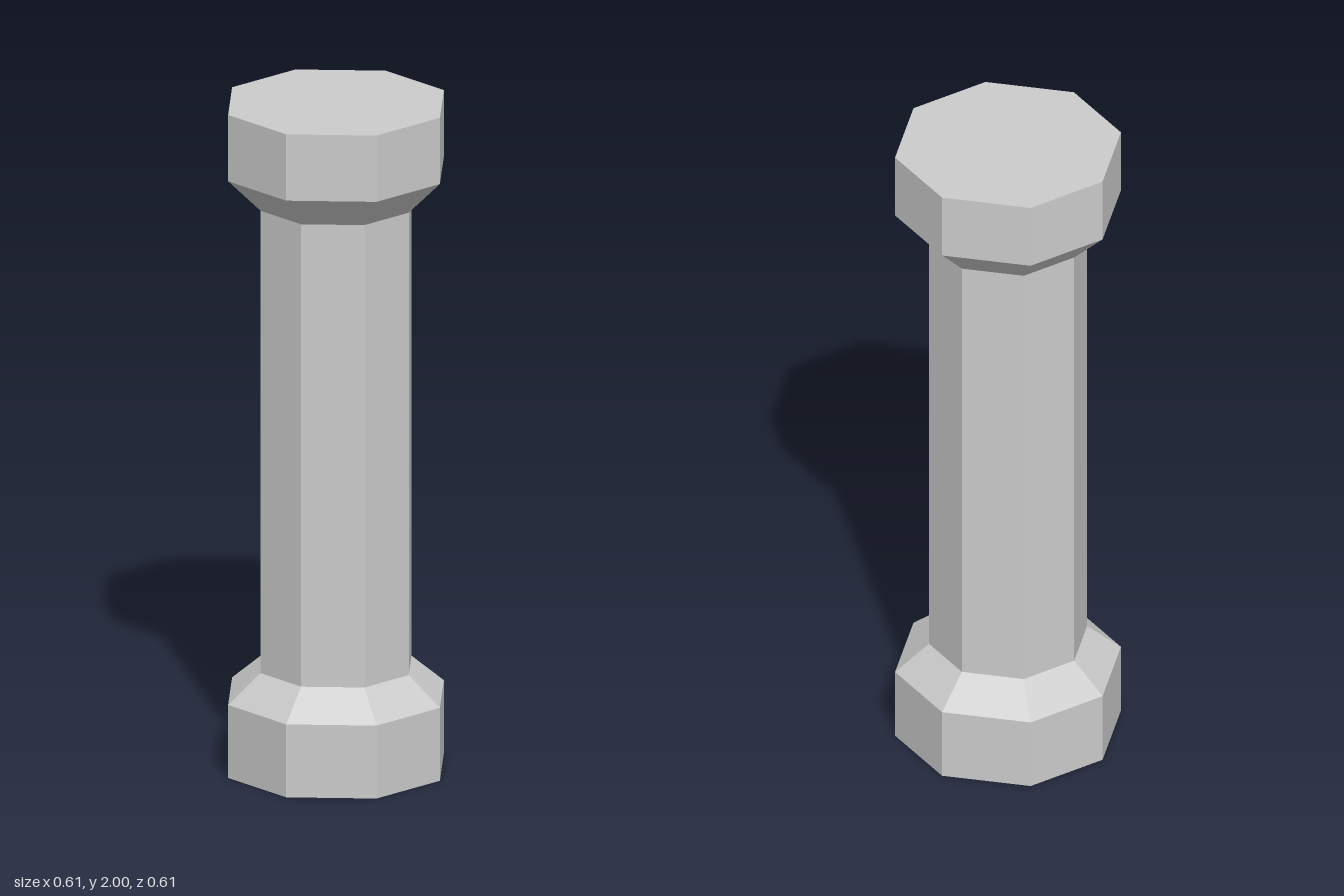
import * as THREE from 'three';

const SIDES = 8;
const SIDE_RATIO = 0.402; // half a main face's width over its distance from the axis

const WIDE = 0.307;
const NARROW = 0.215;

// Sweeps [distance from axis, height] points, bottom to top, round an octagon
function octagonPart(name, profile, material) {
  const points = profile.map(([r, y]) => new THREE.Vector2(r / Math.cos(Math.PI / SIDES), y));
  const geometry = new THREE.LatheGeometry(points, SIDES, Math.PI / SIDES);

  // The four diagonal faces are slightly wider than the four main ones
  const narrowing = SIDE_RATIO / Math.tan(Math.PI / SIDES);
  const pos = geometry.attributes.position;
  for (let i = 0; i < pos.count; i++) {
    const x = pos.getX(i), z = pos.getZ(i);
    if (Math.abs(x) < Math.abs(z)) pos.setX(i, x * narrowing);
    else pos.setZ(i, z * narrowing);
  }

  const flat = geometry.toNonIndexed();
  flat.computeVertexNormals();
  const mesh = new THREE.Mesh(flat, material);
  mesh.name = name;
  return mesh;
}

export function createModel() {
  const group = new THREE.Group();
  group.name = 'column';
  const material = new THREE.MeshStandardMaterial({ color: 0xcccccc, flatShading: true });

  group.add(
    // Foot block with its bevel up to the shaft
    octagonPart('base', [[0, 0], [WIDE, 0], [WIDE, 0.22], [NARROW, 0.305]], material),
    octagonPart('shaft', [[NARROW, 0.305], [NARROW, 1.7]], material),
    // Bevel out to the head block
    octagonPart('capital', [[NARROW, 1.7], [WIDE, 1.8], [WIDE, 2], [0, 2]], material),
  );
  return group;
}
